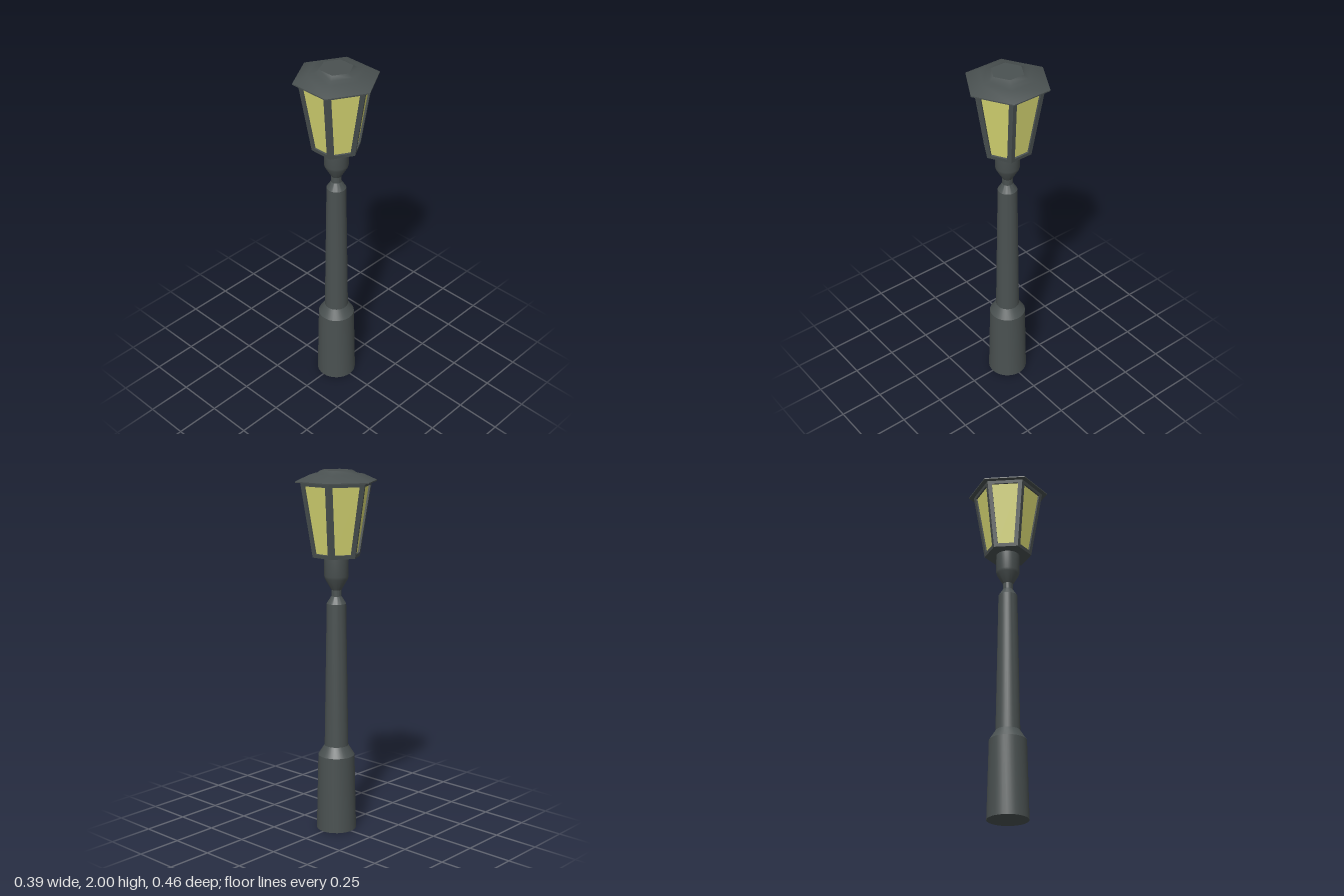
import * as THREE from 'three';
import { toCreasedNormals } from 'three/addons/utils/BufferGeometryUtils.js';

const LAMP_BOTTOM = 1.54, LAMP_TOP = 1.94;
const R_BOTTOM = 0.133, R_TOP = 0.2;   // hexagon corner radii of the lantern
const COS30 = Math.cos(Math.PI / 6);

function lathe(name, profile, segments, crease, material) {
  const points = profile.map(([r, y]) => new THREE.Vector2(r, y));
  const mesh = new THREE.Mesh(toCreasedNormals(new THREE.LatheGeometry(points, segments), crease), material);
  mesh.name = name;
  return mesh;
}

// Trapezoid corners, counter-clockwise from the bottom left
function trapezoid(halfBottom, halfTop, y0, y1) {
  return [[-halfBottom, y0], [halfBottom, y0], [halfTop, y1], [-halfTop, y1]]
    .map(([x, y]) => new THREE.Vector2(x, y));
}

// Plate whose outer face lies at z = front
function plate(name, shape, front, depth, material) {
  const geometry = new THREE.ExtrudeGeometry(shape, { depth, bevelEnabled: false });
  geometry.translate(0, 0, front - depth);
  const mesh = new THREE.Mesh(geometry, material);
  mesh.name = name;
  return mesh;
}

export function createModel() {
  const iron = new THREE.MeshStandardMaterial({ color: 0x4a5151 });
  iron.name = 'dark iron';
  const glow = new THREE.MeshStandardMaterial({ color: 0xd8d873 });
  glow.name = 'yellow glass';

  const model = new THREE.Group();
  model.name = 'streetLamp';

  // Turned post: base, shaft, neck and collar
  model.add(lathe('post', [
    [0, 0], [0.111, 0], [0.101, 0.43], [0.066, 0.485], [0.053, 1.285],
    [0.028, 1.325], [0.028, 1.36], [0.062, 1.42], [0.066, 1.435], [0.066, 1.545],
  ], 32, 0.5, iron));

  // Lantern floor
  model.add(lathe('lanternFloor', [
    [0, LAMP_BOTTOM], [R_BOTTOM, LAMP_BOTTOM], [R_BOTTOM + 0.001, LAMP_BOTTOM + 0.01], [0, LAMP_BOTTOM + 0.01],
  ], 6, 0.3, iron));

  // Six tilted sides, each a frame with a recessed pane
  const rise = LAMP_TOP - LAMP_BOTTOM;
  const spread = (R_TOP - R_BOTTOM) * COS30;
  const slant = Math.hypot(rise, spread);
  const rail = 0.02, post = 0.023;
  const halfAt = (y) => THREE.MathUtils.lerp(R_BOTTOM, R_TOP, y / slant) / 2 - post;
  const opening = trapezoid(halfAt(rail), halfAt(slant - rail), rail, slant - rail);

  const frameShape = new THREE.Shape(trapezoid(R_BOTTOM / 2, R_TOP / 2, 0, slant));
  frameShape.holes.push(new THREE.Path(opening));
  const paneShape = new THREE.Shape(opening);

  for (let i = 0; i < 6; i++) {
    const side = new THREE.Group();
    side.name = 'lanternSide' + (i + 1);
    const tilted = new THREE.Group();
    tilted.name = 'lanternPanel';
    tilted.position.set(0, LAMP_BOTTOM, R_BOTTOM * COS30);
    tilted.rotation.x = Math.atan2(spread, rise);
    tilted.add(plate('frame', frameShape, 0, 0.022, iron));
    tilted.add(plate('pane', paneShape, -0.01, 0.006, glow));
    side.rotation.y = (i + 0.5) * Math.PI / 3;
    side.add(tilted);
    model.add(side);
  }

  // Stepped hexagonal roof
  model.add(lathe('roof', [
    [0, 1.938], [0.228, 1.938], [0.228, 1.944], [0.152, 1.978],
    [0.115, 1.984], [0.088, 2], [0, 2],
  ], 6, 0.6, iron));

  return model;
}
